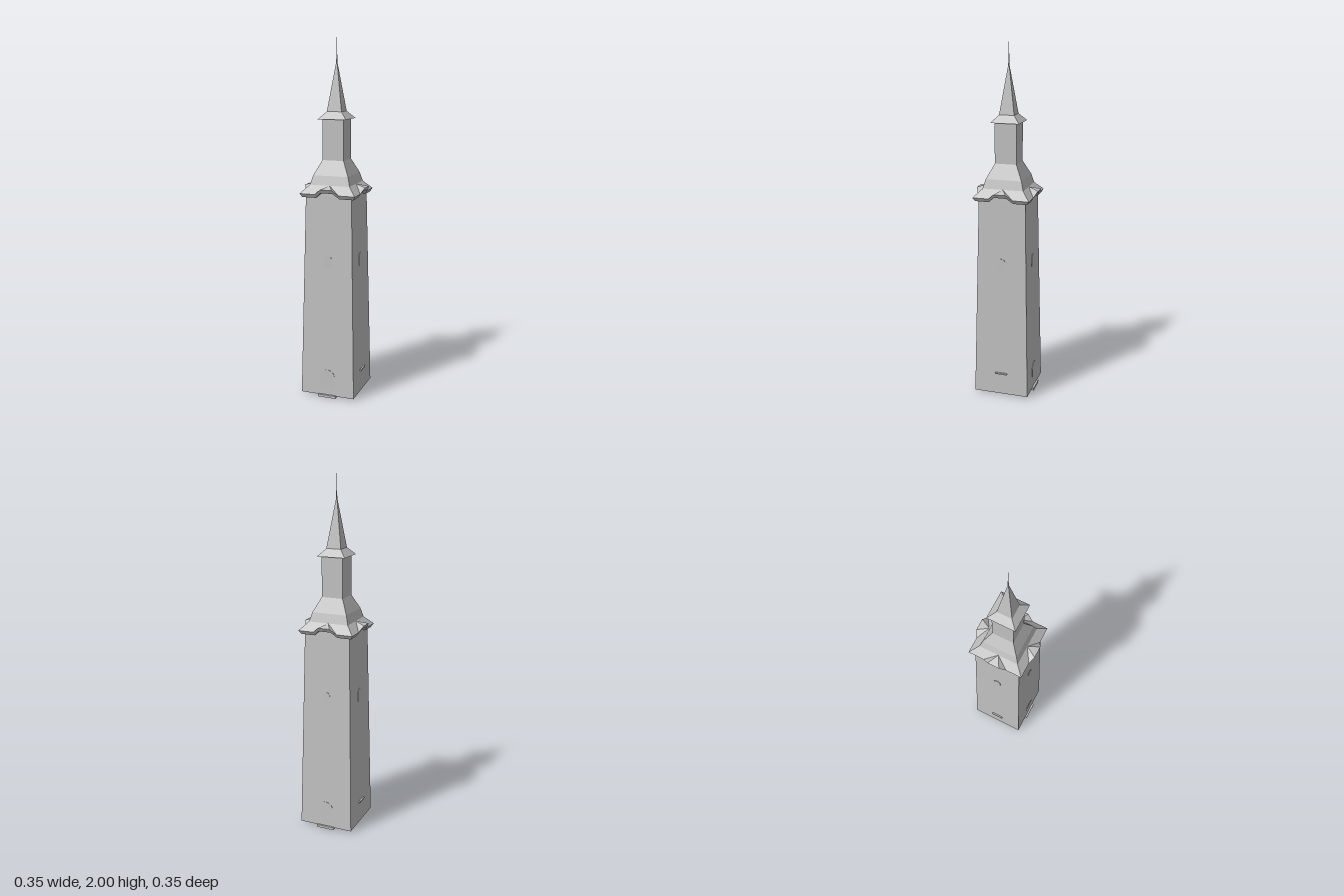
import * as THREE from 'three';

export function createModel() {
  const model = new THREE.Group();
  const stone = new THREE.MeshStandardMaterial({ color: 0xc4c4c4, flatShading: true, side: THREE.DoubleSide });
  stone.name = 'pale grey';

  const add = (name, geometry, parent = model) => {
    const mesh = new THREE.Mesh(geometry, stone);
    mesh.name = name;
    parent.add(mesh);
    return mesh;
  };

  // Square section lofted through [half width, height] pairs
  const square = (name, profile) => add(name, new THREE.LatheGeometry(
    profile.map(([h, y]) => new THREE.Vector2(h * Math.SQRT2, y)), 4, Math.PI / 4));

  // Tapered tower, open underneath, and the upper stages
  square('towerWalls', [[0.156, 0.01], [0.131, 1.145], [0.13, 1.18]]);
  square('bellRoof', [[0.114, 1.205], [0.1, 1.255], [0.061, 1.335]]);
  square('lantern', [[0.061, 1.335], [0.061, 1.565]]);
  square('lanternEaves', [[0.061, 1.565], [0.08, 1.557], [0.042, 1.597]]);
  square('spire', [[0.042, 1.597], [0, 1.875]]);
  const finial = add('finial', new THREE.ConeGeometry(0.004, 0.16, 4));
  finial.position.y = 1.92;

  // One side of the flared eaves: the edge rises and swells in the middle
  function eavesSide() {
    const edge = [[-0.158, 0.158, 1.16], [-0.068, 0.158, 1.16], [-0.034, 0.175, 1.19],
      [0.034, 0.175, 1.19], [0.068, 0.158, 1.16], [0.158, 0.158, 1.16]]
      .map(([x, z, y]) => new THREE.Vector3(x, y, z));
    const inset = (d, drop) => edge.map((p, i) => new THREE.Vector3(
      i === 0 || i === 5 ? Math.sign(p.x) * (0.158 - d) : p.x, p.y - drop, p.z - d));
    const lip = inset(0.012, 0.02);
    const soffit = lip.map((p, i) => new THREE.Vector3(
      i === 0 || i === 5 ? Math.sign(p.x) * 0.128 : p.x, p.y, 0.128));
    const apex = new THREE.Vector3(0, 1.205, 0.114);
    const left = new THREE.Vector3(-0.114, 1.205, 0.114);
    const right = new THREE.Vector3(0.114, 1.205, 0.114);
    const points = [edge[0], apex, left, edge[5], right, apex];
    for (let i = 0; i < 5; i++) {
      points.push(edge[i], edge[i + 1], apex);
      for (const [low, high] of [[lip, edge], [soffit, lip]]) {
        points.push(low[i], low[i + 1], high[i + 1], low[i], high[i + 1], high[i]);
      }
    }
    const geometry = new THREE.BufferGeometry().setFromPoints(points);
    geometry.computeVertexNormals();
    return geometry;
  }

  // Thin arched panel for doors and windows
  function arch(width, height) {
    const r = width / 2;
    const shape = new THREE.Shape();
    shape.moveTo(-r, 0);
    shape.lineTo(r, 0);
    shape.lineTo(r, height - r);
    shape.absarc(0, height - r, r, 0, Math.PI, false);
    return new THREE.ExtrudeGeometry(shape, { depth: 0.004, bevelEnabled: false, curveSegments: 6 });
  }

  for (let i = 0; i < 4; i++) {
    const side = new THREE.Group();
    side.name = 'towerSide';
    side.rotation.y = i * Math.PI / 2;
    model.add(side);
    add('eaves', eavesSide(), side);
    add('window', arch(0.04, 0.07), side).position.set(0, 0.75, 0.1365);
    if (i % 2 === 0) {
      // Front and back doorways with a step
      add('door', arch(0.085, 0.15), side).position.set(0, 0.012, 0.151);
      add('doorStep', new THREE.BoxGeometry(0.104, 0.014, 0.03), side).position.set(0, 0.007, 0.152);
    } else {
      // Small ledges on the left and right walls
      add('ledge', new THREE.BoxGeometry(0.07, 0.008, 0.012), side).position.set(0, 0.135, 0.156);
    }
  }
  return model;
}
